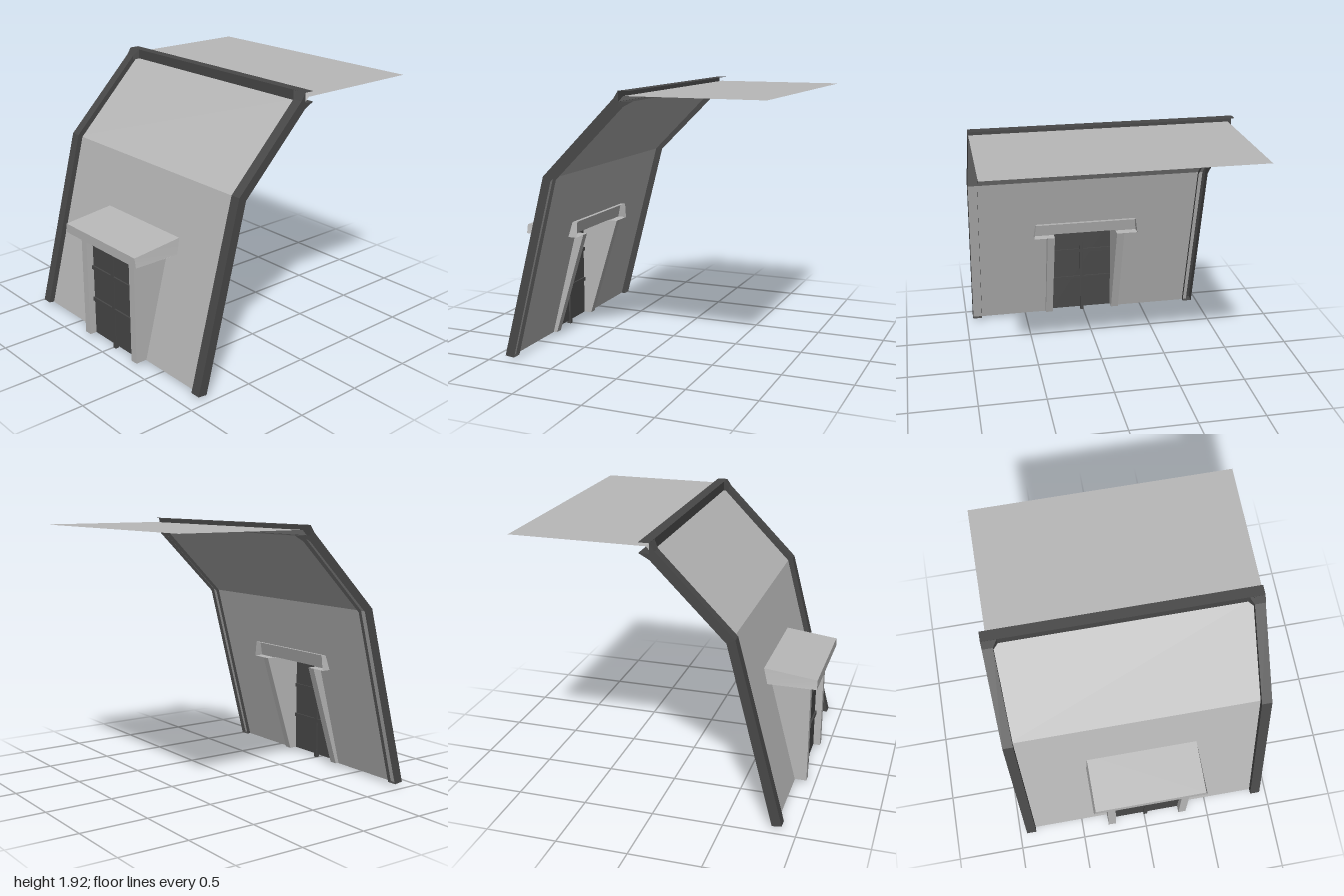
import * as THREE from 'three';
import { ConvexGeometry } from 'three/addons/geometries/ConvexGeometry.js';

const lightGrey = new THREE.MeshStandardMaterial({ color: 0xb8b8b8, side: THREE.DoubleSide });
lightGrey.name = 'lightGrey';
const darkGrey = new THREE.MeshStandardMaterial({ color: 0x484848, side: THREE.DoubleSide });
darkGrey.name = 'darkGrey';

const CX = 0.0175;                       // centre line of the porch
const DOOR = [-0.235, 0.272];            // door opening, right and left edge
const POST_IN = 0.873, POST_OUT = 0.947; // inner and outer side of the posts

function mesh(name, geometry, material, parent) {
  const m = new THREE.Mesh(geometry, material);
  m.name = name;
  parent.add(m);
  return m;
}

// Sheet that follows a [z, y] profile between two x positions, with hard folds
function ribbon(profile, x0, x1) {
  const p = [];
  for (let i = 0; i < profile.length - 1; i++) {
    const [za, ya] = profile[i], [zb, yb] = profile[i + 1];
    p.push(x0, ya, za, x1, ya, za, x1, yb, zb, x0, ya, za, x1, yb, zb, x0, yb, zb);
  }
  const g = new THREE.BufferGeometry();
  g.setAttribute('position', new THREE.Float32BufferAttribute(p, 3));
  g.computeVertexNormals();
  return g;
}

const shapeOf = (pts) => new THREE.Shape(pts.map(([a, b]) => new THREE.Vector2(a, b)));

// Flat side plate from a [z, y] outline
const sidePlate = (pts, x) =>
  new THREE.ShapeGeometry(shapeOf(pts)).rotateY(-Math.PI / 2).translate(x, 0, 0);

// Solid from a [z, y] outline, extruded along x
const solid = (pts, x0, x1) =>
  new THREE.ExtrudeGeometry(shapeOf(pts), { depth: x1 - x0, bevelEnabled: false })
    .rotateY(-Math.PI / 2).translate(x1, 0, 0);

function box(name, x0, x1, y0, y1, z0, z1, material, parent) {
  const m = mesh(name, new THREE.BoxGeometry(x1 - x0, y1 - y0, z1 - z0), material, parent);
  m.position.set((x0 + x1) / 2, (y0 + y1) / 2, (z0 + z1) / 2);
}

// Narrows the upper edges of the canopy and moves it to the porch centre line
function taper(g) {
  const p = g.attributes.position;
  for (let i = 0; i < p.count; i++) {
    p.setX(i, p.getX(i) * (p.getY(i) > 0.85 ? 0.965 : 1) + CX);
  }
  g.computeVertexNormals();
  return g;
}

export function createModel() {
  const model = new THREE.Group();
  model.name = 'facade';

  // Lower wall: leaning sheet with a door opening
  const outline = shapeOf([[-0.91, 0.022], [DOOR[0], 0.022], [DOOR[0], 0.81], [DOOR[1], 0.81],
    [DOOR[1], 0.022], [0.943, 0.022], [0.943, 1.31], [-0.91, 1.31]]);
  const wall = new THREE.ShapeGeometry(outline);
  const pos = wall.attributes.position;
  for (let i = 0; i < pos.count; i++) {
    pos.setZ(i, 0.855 - (pos.getY(i) - 0.022) * (0.335 / 1.288));
  }
  wall.computeVertexNormals();
  mesh('lowerWall', wall, lightGrey, model);

  // Upper sloping wall and flat roof, meeting inside the ridge beam
  mesh('upperWall', ribbon([[0.52, 1.31], [-0.045, 1.884]], -0.91, 0.943), lightGrey, model);
  mesh('roof', ribbon([[-0.045, 1.884], [-1, 1.884]], -0.91, 0.943), lightGrey, model);

  // Ridge beam: channel open towards the back, around the roof edge
  mesh('ridgeBeam', ribbon([[-0.083, 1.847], [-0.01, 1.847], [-0.01, 1.917], [-0.083, 1.917]],
    -POST_OUT, POST_OUT), darkGrey, model);

  // Bent side posts: channels open towards the back, notched for the beam
  const front = [[0.827, 0.02], [0.895, 0.028], [0.555, 1.33], [0.025, 1.866], [-0.009, 1.917]];
  const side = [...front, [-0.009, 1.848], [-0.083, 1.848], [-0.009, 1.808], [0.498, 1.3]];
  for (const s of [1, -1]) {
    const post = new THREE.Group();
    post.name = s > 0 ? 'leftPost' : 'rightPost';
    mesh('postOuterSide', sidePlate(side, s * POST_OUT), darkGrey, post);
    mesh('postInnerSide', sidePlate(side, s * POST_IN), darkGrey, post);
    const mid = s * (POST_IN + POST_OUT) / 2, half = (POST_OUT - POST_IN) / 2;
    mesh('postFront', ribbon(front, mid - half, mid + half), darkGrey, post);
    // Corner gusset between post and beam
    const corner = [[POST_IN, 1.838, 0.025], [POST_IN, 1.866, 0.025], [POST_IN, 1.847, -0.009],
      [POST_IN, 1.916, -0.009], [0.84, 1.847, -0.009], [0.84, 1.916, -0.009]];
    mesh('gusset', new ConvexGeometry(corner.map(([x, y, z]) => new THREE.Vector3(s * x, y, z))),
      darkGrey, post);
    model.add(post);
  }

  // Porch pillars: wedges that run through the leaning wall
  const porch = new THREE.Group();
  porch.name = 'porch';
  const pillar = [[0.94, 0.025], [0.94, 0.804], [0.585, 0.804], [0.825, 0.025]];
  mesh('rightPillar', solid(pillar, -0.295, DOOR[0]), lightGrey, porch);
  mesh('leftPillar', solid(pillar, DOOR[1], 0.33), lightGrey, porch);

  // Canopy: tapered shell, open at the back and above the door
  const canopy = new THREE.Group();
  canopy.name = 'canopy';
  const back = 0.583;
  const hood = [[back, 0.92], [1, 0.87], [1, 0.804]];
  mesh('canopyTop', taper(ribbon(hood, -0.42, 0.42)), lightGrey, canopy);
  for (const s of [1, -1]) {
    mesh('canopySide', taper(sidePlate([...hood, [back, 0.804]], s * 0.42)), lightGrey, canopy);
  }
  const soffit = [[1, 0.805], [back, 0.805]];
  mesh('rightSoffit', ribbon(soffit, CX - 0.42, DOOR[0]), lightGrey, canopy);
  mesh('leftSoffit', ribbon(soffit, DOOR[1], CX + 0.42), lightGrey, canopy);
  porch.add(canopy);
  model.add(porch);

  // Upright door with glazing bars running through it
  const door = new THREE.Group();
  door.name = 'door';
  box('doorPanel', DOOR[0], DOOR[1], 0.025, 0.806, 0.885, 0.888, darkGrey, door);
  box('uprightBar', -0.003, 0.025, 0, 0.815, 0.873, 0.901, darkGrey, door);
  for (const y of [0.303, 0.553]) {
    box('crossBar', DOOR[0], DOOR[1], y - 0.014, y + 0.014, 0.873, 0.901, darkGrey, door);
  }
  model.add(door);

  return model;
}
